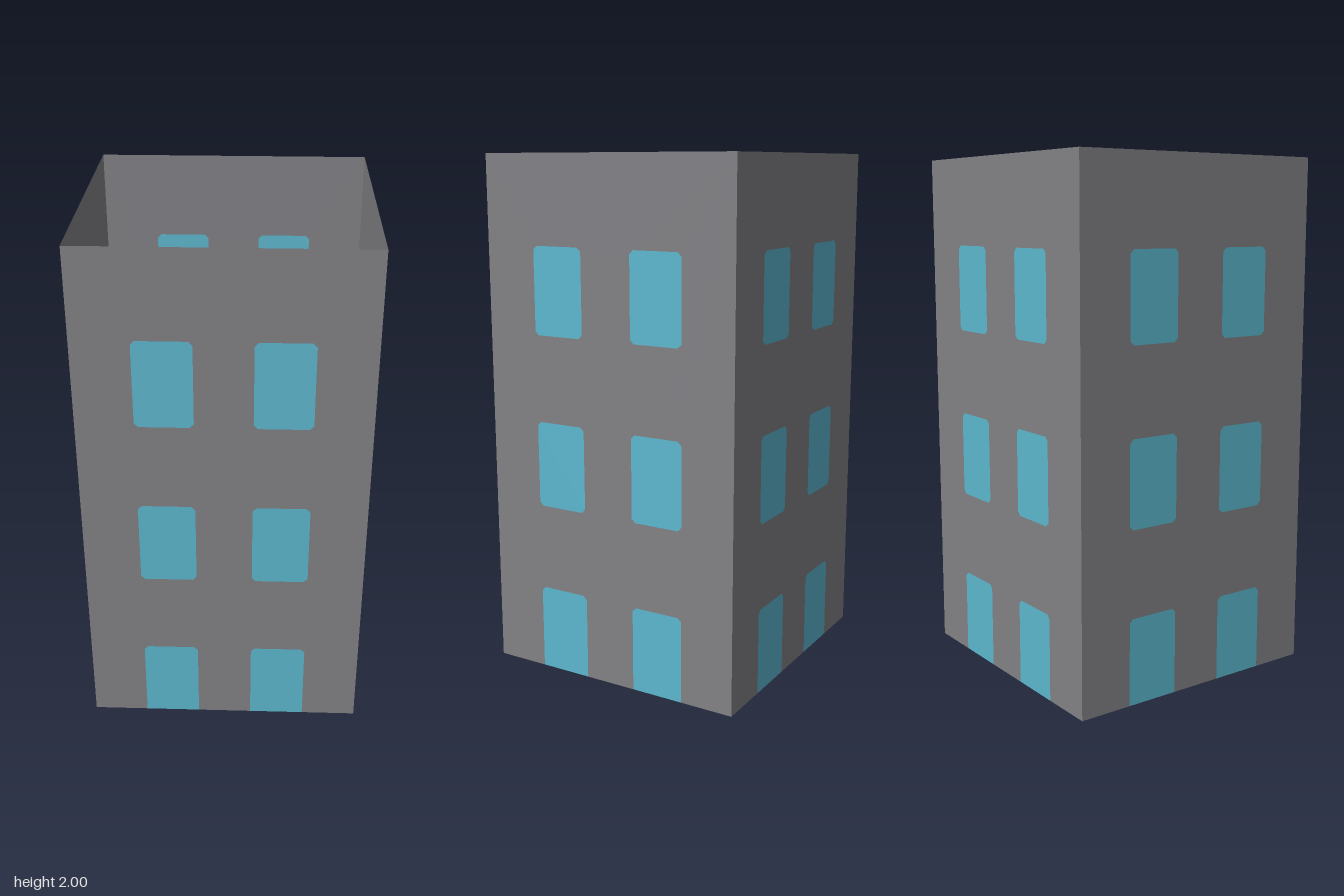
import * as THREE from 'three';

const HALF = 0.528, HEIGHT = 2;
const WIN_X = 0.211, WIN_HALF = 0.106, WIN_H = 0.333, CUT = 0.015;

// Window outline with clipped corners; ground-floor windows keep a square sill
function windowPoints(cx, y0, squareSill) {
  const l = cx - WIN_HALF, r = cx + WIN_HALF, t = y0 + WIN_H, b = squareSill ? 0 : CUT;
  const points = [[l, y0 + b], [l, t - CUT], [l + CUT, t], [r - CUT, t], [r, t - CUT], [r, y0 + b]];
  if (!squareSill) points.push([r - CUT, y0], [l + CUT, y0]);
  return points.map(([x, y]) => new THREE.Vector2(x, y));
}

export function createModel() {
  const wallMat = new THREE.MeshStandardMaterial({ color: 0x828185, side: THREE.DoubleSide });
  wallMat.name = 'wall grey';
  const glassMat = new THREE.MeshStandardMaterial({ color: 0x5db8cf, side: THREE.DoubleSide });
  glassMat.name = 'window blue';

  // Wall outline, notched at the bottom for the ground-floor windows
  const ground = [-WIN_X, WIN_X].map((x) => windowPoints(x, 0, true));
  const wallShape = new THREE.Shape([
    new THREE.Vector2(-HALF, 0), ...ground[0], ...ground[1],
    new THREE.Vector2(HALF, 0), new THREE.Vector2(HALF, HEIGHT), new THREE.Vector2(-HALF, HEIGHT),
  ]);
  const panes = ground.map((p) => new THREE.Shape(p));

  // Upper floors: openings in the wall, each filled by a pane
  for (const y of [0.667, 1.333]) {
    for (const x of [-WIN_X, WIN_X]) {
      const points = windowPoints(x, y, false);
      wallShape.holes.push(new THREE.Path(points));
      panes.push(new THREE.Shape(points));
    }
  }
  const wallGeo = new THREE.ShapeGeometry(wallShape);
  const paneGeo = new THREE.ShapeGeometry(panes);

  // Four identical sides; the tower is open at top and bottom
  const tower = new THREE.Group();
  tower.name = 'tower';
  ['front', 'left', 'back', 'right'].forEach((name, i) => {
    const side = new THREE.Group();
    side.name = name + 'Side';
    const wall = new THREE.Mesh(wallGeo, wallMat);
    wall.name = name + 'Wall';
    const windows = new THREE.Mesh(paneGeo, glassMat);
    windows.name = name + 'Windows';
    wall.position.z = windows.position.z = HALF;
    side.add(wall, windows);
    side.rotation.y = i * Math.PI / 2;
    tower.add(side);
  });
  return tower;
}
